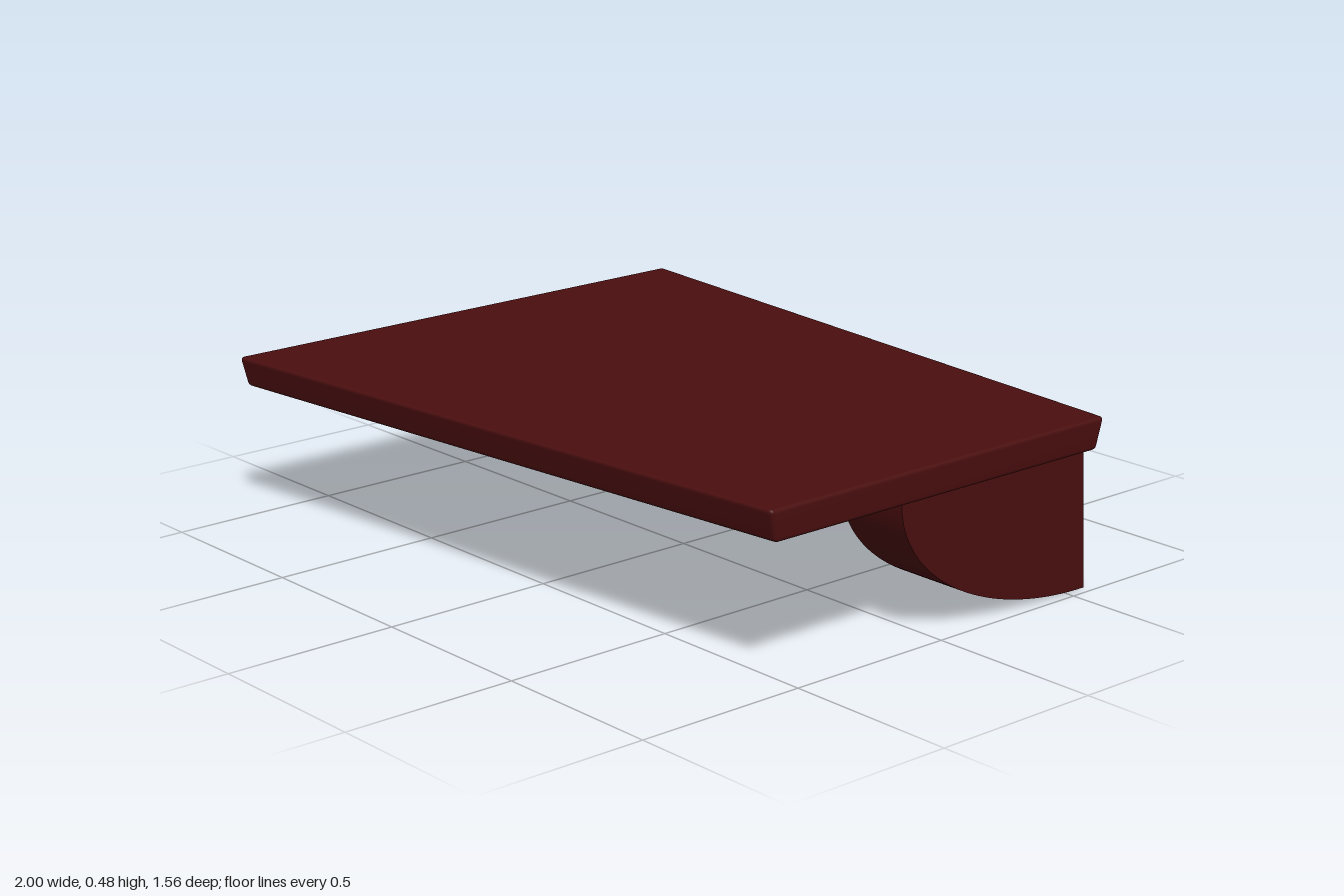
import * as THREE from 'three';
import { RoundedBoxGeometry } from 'three/addons/geometries/RoundedBoxGeometry.js';
import { mergeVertices, toCreasedNormals } from 'three/addons/utils/BufferGeometryUtils.js';

const material = new THREE.MeshStandardMaterial({ color: 0x4a0e0f });

// Tapered slab: wide at -x, narrow at +x, long edges undercut towards the bottom
function slabGeometry() {
  const bottom = 0.387, height = 0.089;
  let geo = new RoundedBoxGeometry(2, height, 1.38, 2, 0.012);
  const pos = geo.attributes.position;
  for (let i = 0; i < pos.count; i++) {
    const x = pos.getX(i), y = pos.getY(i), z = pos.getZ(i);
    const drop = 0.5 - y / height; // 0 at the top, 1 at the bottom
    pos.setXYZ(
      i,
      x * (1 - 0.004 * drop),
      y + bottom + height / 2 + 0.003 * x,
      z * (1 - 0.138 * x) - Math.sign(z) * 0.022 * drop
    );
  }
  geo.deleteAttribute('normal');
  geo.deleteAttribute('uv');
  geo = mergeVertices(geo, 1e-5);
  geo.computeVertexNormals();
  return geo;
}

// Quarter-ellipse bracket, profile drawn in (z, y) and extruded along x
function bracketGeometry() {
  const width = 0.22;
  const profile = new THREE.Shape();
  profile.moveTo(-0.548, 0.41);
  profile.lineTo(-0.57, 0);
  profile.absellipse(-0.57, 0.39, 0.695, 0.39, -Math.PI / 2, 0, false);
  profile.lineTo(0.125, 0.41);
  profile.closePath();
  const geo = new THREE.ExtrudeGeometry(profile, { depth: width, bevelEnabled: false, curveSegments: 40 });
  geo.translate(0, 0, -width / 2);
  geo.rotateY(-Math.PI / 2);
  return toCreasedNormals(geo, 0.5);
}

export function createModel() {
  const model = new THREE.Group();
  model.name = 'taperedShelf';

  const slab = new THREE.Mesh(slabGeometry(), material);
  slab.name = 'shelfSlab';
  model.add(slab);

  // Each bracket follows the slanted back edge
  const bracket = bracketGeometry();
  for (const [name, x, z] of [['leftBracket', 0.862, 0], ['rightBracket', -0.872, -0.153]]) {
    const mesh = new THREE.Mesh(bracket, material);
    mesh.name = name;
    mesh.position.set(x, 0, z);
    model.add(mesh);
  }
  return model;
}
